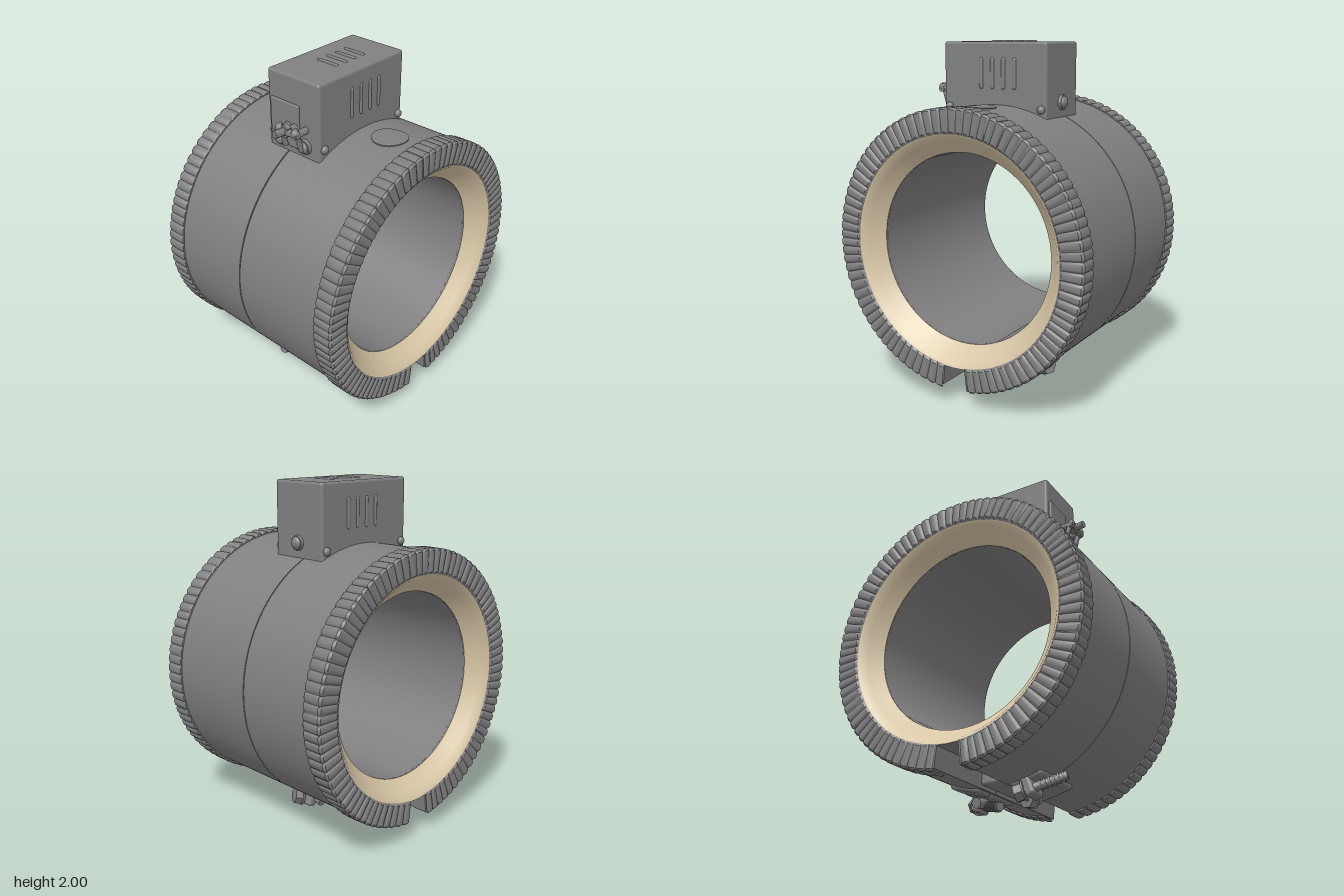
import * as THREE from 'three';
import { toCreasedNormals } from 'three/addons/utils/BufferGeometryUtils.js';
import { RoundedBoxGeometry } from 'three/addons/geometries/RoundedBoxGeometry.js';

const CY = 0.885;      // height of the ring axis, which runs along x
const R = 0.766;       // outer radius of the metal shell
const GAP = 0.105;     // half angle of the slot at the bottom

export function createModel() {
  const steel = new THREE.MeshStandardMaterial({ color: 0x808080 });
  steel.name = 'steel';
  const ceramic = new THREE.MeshStandardMaterial({ color: 0xd8c6a6, side: THREE.DoubleSide });
  ceramic.name = 'ceramic';

  const model = new THREE.Group();
  model.name = 'bandHeater';

  function add(parent, name, geometry, material = steel, x = 0, y = 0, z = 0) {
    const mesh = new THREE.Mesh(geometry, material);
    mesh.name = name;
    mesh.position.set(x, y, z);
    parent.add(mesh);
    return mesh;
  }

  function group(name, parent = model) {
    const g = new THREE.Group();
    g.name = name;
    parent.add(g);
    return g;
  }

  // Cylinder spanning two points
  function rod(parent, name, from, to, r1, r2 = r1, sides = 16) {
    const a = new THREE.Vector3(...from), b = new THREE.Vector3(...to);
    const d = b.clone().sub(a);
    const geo = toCreasedNormals(new THREE.CylinderGeometry(r2, r1, d.length(), sides), 0.7);
    const mesh = add(parent, name, geo);
    mesh.position.copy(a).add(b).multiplyScalar(0.5);
    mesh.quaternion.setFromUnitVectors(new THREE.Vector3(0, 1, 0), d.normalize());
    return mesh;
  }

  // Lathe around the x axis; profile points are [radius, x]
  function ringLathe(points, segments, start = 0, length = Math.PI * 2, ripple) {
    const geo = new THREE.LatheGeometry(points.map(p => new THREE.Vector2(...p)), segments, start, length);
    if (ripple) ripple(geo.attributes.position);
    return toCreasedNormals(geo.rotateZ(-Math.PI / 2), 0.6);
  }

  const ring = group('ring');
  ring.position.y = CY;

  // Two shell halves with a fine seam between them
  const sector = new THREE.Shape();
  sector.absarc(0, 0, R, -Math.PI / 2 + GAP, Math.PI * 1.5 - GAP, false);
  sector.absarc(0, 0, 0.645, Math.PI * 1.5 - GAP, -Math.PI / 2 + GAP, true);
  sector.closePath();
  for (const [name, x0, x1] of [['shellRight', -0.63, -0.048], ['shellLeft', -0.042, 0.63]]) {
    const geo = new THREE.ExtrudeGeometry(sector, { depth: x1 - x0, bevelEnabled: false, curveSegments: 96 });
    add(ring, name, toCreasedNormals(geo.rotateY(Math.PI / 2), 0.6), steel, x0);
  }
  add(ring, 'slotFloor', ringLathe([[0.648, -0.635], [0.648, 0.635]], 96));
  add(ring, 'seamFloor', ringLathe([[R - 0.01, -0.05], [R - 0.01, -0.04]], 128,
    Math.PI / 2 + GAP, Math.PI * 2 - GAP * 2));

  // Inner bore, facing the axis
  add(ring, 'bore', ringLathe([[0.535, 0.53], [0.535, -0.53]], 96));

  // Pleated rim and ceramic collar at each end
  const pleat = pos => {
    for (let i = 0; i < pos.count; i++) {
      const x = pos.getX(i), y = pos.getY(i), z = pos.getZ(i);
      const r = Math.hypot(x, z), a = Math.atan2(x, z);
      const d = -0.011 * (1 - Math.abs(Math.sin(a * 45 + 0.5 * Math.sin(a * 7)))) ** 2;
      const k = r > 0.77 ? (r + d) / r : 1;
      pos.setXYZ(i, x * k, r < 0.775 && r > 0.65 && y > 0.6 ? y + d : y, z * k);
    }
  };
  const rimProfile = [[0.764, 0.522], [0.776, 0.522], [0.782, 0.532], [0.782, 0.632],
    [0.771, 0.645], [0.655, 0.645], [0.642, 0.634]];
  for (const side of [1, -1]) {
    const end = group(side > 0 ? 'leftEnd' : 'rightEnd', ring);
    if (side < 0) end.rotation.y = Math.PI;
    add(end, 'pleatedRim', ringLathe(rimProfile, 720, Math.PI / 2 + GAP, Math.PI * 2 - GAP * 2, pleat));
    add(end, 'ceramicCollar', ringLathe([[0.535, 0.52], [0.555, 0.54], [0.6, 0.592], [0.628, 0.625], [0.648, 0.636]], 64), ceramic);
  }

  // Round cover on top, bent to the shell
  const disc = new THREE.CylinderGeometry(0.1, 0.1, 0.01, 48, 1);
  const cover = new THREE.RingGeometry(0.0001, 0.1, 48, 8).rotateX(-Math.PI / 2);
  for (const geo of [disc, cover]) {
    const p = geo.attributes.position;
    for (let i = 0; i < p.count; i++) {
      const h = geo === cover ? 0.005 : p.getY(i);
      p.setY(i, Math.sqrt(R * R - p.getZ(i) ** 2) + h);
    }
    geo.computeVertexNormals();
  }
  disc.clearGroups();
  disc.setIndex([...disc.index.array].slice(0, 48 * 6));
  add(ring, 'coverEdge', disc, steel, 0.365, 0, 0.005);
  add(ring, 'roundCover', cover, steel, 0.365, 0, 0.005);

  // Terminal box
  const box = group('terminalBox');
  add(box, 'housing', new RoundedBoxGeometry(0.37, 0.46, 0.67, 3, 0.016), steel, -0.005, 1.77, 0.018);
  add(box, 'frontPlate', new RoundedBoxGeometry(0.205, 0.25, 0.02, 2, 0.009), steel, -0.062, 1.725, 0.357);

  // Louvres on the top and both sides
  for (let i = 0; i < 4; i++) {
    const top = add(box, 'topLouvre', new THREE.CapsuleGeometry(0.013, 0.12, 4, 12), steel, 0.002, 1.995, -0.115 + i * 0.07);
    top.rotation.z = Math.PI / 2;
    for (const s of [1, -1]) {
      const louvre = add(box, 'sideLouvre', new THREE.CapsuleGeometry(0.013, 0.15, 4, 12), steel,
        -0.005 + s * 0.182, 1.825, -0.115 + i * 0.072);
      louvre.scale.x = 0.8;
    }
  }

  // Screws at the corners of the lid and low on the sides
  for (const s of [1, -1]) for (const z of [-0.285, 0.318]) {
    const x = -0.005 + s * 0.155;
    rod(box, 'lidScrew', [x, 1.99, z], [x, 2.0, z], 0.018, 0.012);
    const knob = add(box, 'sideScrew', new THREE.SphereGeometry(0.024, 14, 10), steel, -0.005 + s * 0.188, 1.632, z);
    knob.scale.x = 0.9;
  }

  // Rear bolt
  rod(box, 'rearBolt', [0, 1.665, -0.31], [0, 1.665, -0.332], 0.045, 0.04);
  add(box, 'rearBoltHead', new THREE.SphereGeometry(0.036, 16, 10), steel, 0, 1.665, -0.328).scale.z = 0.7;

  // Front terminals and wire clamp
  for (const x of [-0.09, 0.08]) {
    rod(box, 'terminalBase', [x, 1.63, 0.35], [x, 1.63, 0.372], 0.044, 0.04);
    add(box, 'terminalKnob', new THREE.SphereGeometry(0.033, 16, 10), steel, x, 1.63, 0.375).scale.z = 0.7;
  }
  for (const x of [-0.03, 0.085]) {
    rod(box, 'clampLeg', [x, 1.62, 0.39], [x, 1.755, 0.43], 0.015);
    rod(box, 'clampPost', [x, 1.725, 0.35], [x, 1.725, 0.44], 0.02);
    add(box, 'clampKnob', new THREE.SphereGeometry(0.024, 12, 10), steel, x, 1.735, 0.432);
  }
  rod(box, 'clampBar', [-0.05, 1.725, 0.43], [0.105, 1.725, 0.43], 0.019);
  rod(box, 'clampScrew', [0.02, 1.725, 0.36], [0.0, 1.725, 0.5], 0.021);
  rod(box, 'clampCollar', [0.013, 1.725, 0.41], [0.009, 1.725, 0.44], 0.038, 0.038, 6);

  // Clamp under the slot: bridge, flanges and bolts
  const clamp = group('slotClamp');
  add(clamp, 'bridge', new RoundedBoxGeometry(0.38, 0.075, 0.17, 2, 0.015), steel, -0.01, 0.18, 0);
  for (const s of [1, -1]) for (const [x, w] of [[-0.13, 0.13], [0.055, 0.23]]) {
    const flange = add(clamp, 'flange', new RoundedBoxGeometry(w, 0.05, 0.2, 2, 0.02), steel, x, 0.152, s * 0.19);
    flange.rotation.x = -s * 0.25;
  }

  function bolt(head, tip) {
    const g = group('bolt', clamp);
    const a = new THREE.Vector3(...head), b = new THREE.Vector3(...tip);
    const at = t => a.clone().lerp(b, t).toArray();
    rod(g, 'shank', head, tip, 0.025);
    for (let i = 0; i < 6; i++) rod(g, 'thread', at(0.45 + i * 0.09), at(0.49 + i * 0.09), 0.031);
    rod(g, 'boltHead', at(-0.04), at(0.12), 0.05, 0.05, 6);
    rod(g, 'washer', at(0.12), at(0.16), 0.056);
  }
  bolt([-0.19, 0.065, 0.14], [-0.11, 0.148, 0.4]);
  bolt([0.08, 0.115, -0.29], [-0.04, 0.055, -0.055]);

  // Lugs that hold the bolts
  for (const [x, y, z, tilt] of [[-0.14, 0.1, 0.2, -0.4], [0.04, 0.11, -0.23, 0.3]]) {
    const lug = add(clamp, 'lug', new RoundedBoxGeometry(0.12, 0.11, 0.06, 2, 0.018), steel, x, y, z);
    lug.rotation.x = tilt;
  }
  rod(clamp, 'hingePin', [-0.1, 0.07, 0.15], [0.02, 0.08, 0.15], 0.03);
  rod(clamp, 'hingePin', [-0.06, 0.09, -0.2], [0.14, 0.13, -0.2], 0.03);
  rod(clamp, 'hingeNut', [-0.11, 0.05, 0.15], [-0.05, 0.055, 0.16], 0.045, 0.045, 6);

  return model;
}
